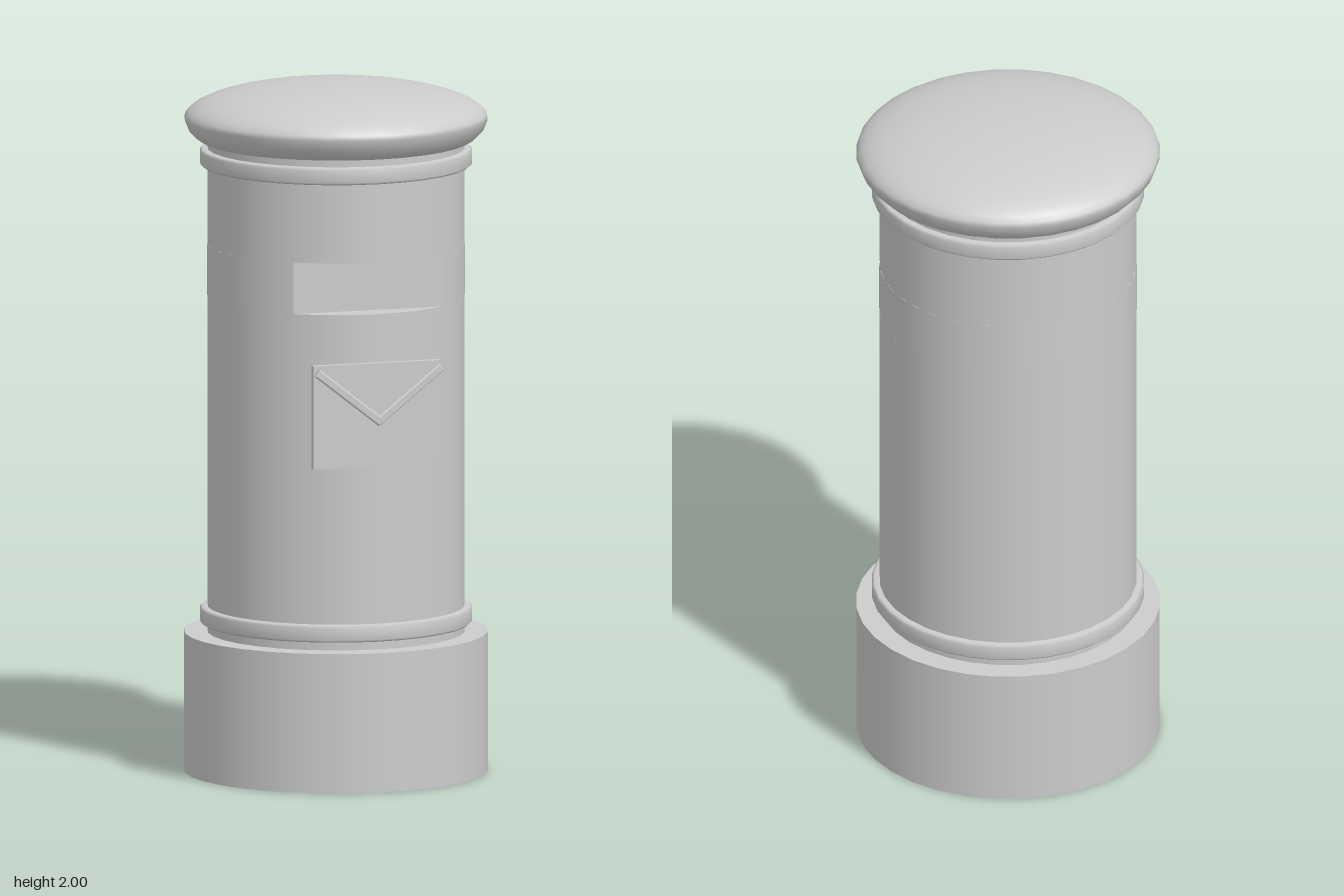
import * as THREE from 'three';

const SEG = 32;
const R = 0.37;          // body radius
const SLOT_HALF = 0.225; // half width of the letter slot

export function createModel() {
  const group = new THREE.Group();
  const grey = new THREE.MeshStandardMaterial({ color: 0xcccccc });
  grey.name = 'plain grey';

  const add = (name, geometry, x = 0, y = 0, z = 0) => {
    const mesh = new THREE.Mesh(geometry, grey);
    mesh.name = name;
    mesh.position.set(x, y, z);
    group.add(mesh);
    return mesh;
  };
  // Upright cylinder between two heights
  const drum = (name, r, y0, y1) =>
    add(name, new THREE.CylinderGeometry(r, r, y1 - y0, SEG), 0, (y0 + y1) / 2);
  const lathe = (name, pts, y = 0) =>
    add(name, new THREE.LatheGeometry(pts.map(([r, h]) => new THREE.Vector2(r, h)), SEG), 0, y);

  // Base and the body above and below the slot
  drum('base', 0.437, 0, 0.405);
  drum('lowerBody', R, 0.4, 1.38);
  drum('upperBody', R, 1.53, 1.84);

  // Body at slot height: the front is cut away to a flat wall
  const half = Math.asin(SLOT_HALF / R);
  add('slotSurround', new THREE.CylinderGeometry(
    R, R, 0.15, SEG, 1, true, half, Math.PI * 2 - half * 2), 0, 1.455);
  add('slotBack', new THREE.PlaneGeometry(SLOT_HALF * 2, 0.15), 0, 1.455, R * Math.cos(half));

  // Collar rings with rounded rims
  const ring = [[0.36, -0.025], [0.385, -0.025], [0.392, -0.018],
    [0.392, 0.018], [0.385, 0.025], [0.36, 0.025]];
  lathe('lowerRing', ring, 0.455);
  lathe('upperRing', ring, 1.785);

  // Domed cap: flat underside, rounded rim, shallow elliptical top
  const cap = [[0.386, 1.832], [0.405, 1.843], [0.424, 1.863]];
  for (let i = 0; i <= 12; i++) {
    const a = (i / 12) * Math.PI / 2;
    cap.push([i === 12 ? 0 : 0.437 * Math.cos(a), 1.895 + 0.105 * Math.sin(a)]);
  }
  lathe('cap', cap);
  add('capUnderside', new THREE.CircleGeometry(0.386, SEG).rotateX(Math.PI / 2).rotateY(Math.PI / 2),
    0, 1.832);

  // Envelope emblem: thin plate with a raised V-shaped flap
  add('envelopePlate', new THREE.BoxGeometry(0.385, 0.3, 0.018), -0.002, 1.09, 0.376);
  const flap = new THREE.Shape([
    [-0.18, 1.226], [-0.189, 1.213], [0, 1.064], [0.189, 1.213], [0.18, 1.226], [0, 1.085],
  ].map(([x, y]) => new THREE.Vector2(x, y)));
  add('envelopeFlap', new THREE.ExtrudeGeometry(flap, {
    depth: 0.018, bevelThickness: 0.004, bevelSize: 0.004, bevelSegments: 2,
  }), 0, 0, 0.382);

  return group;
}
